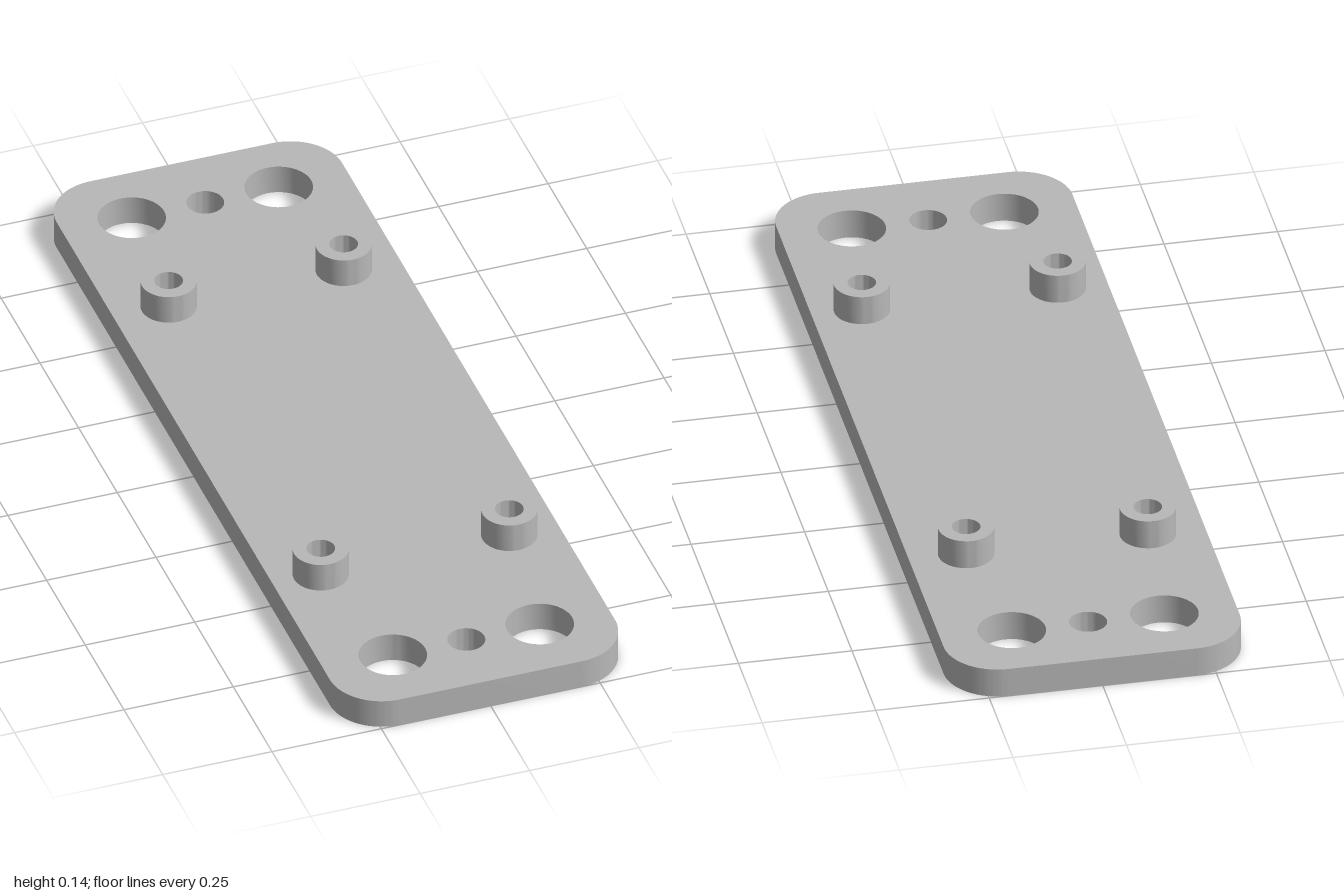
import * as THREE from 'three';
import { toCreasedNormals } from 'three/addons/utils/BufferGeometryUtils.js';

const HALF_W = 0.326, HALF_L = 1, CORNER = 0.118, THICK = 0.068;
const BOSS_R = 0.061, BORE_R = 0.031;

// Shapes are drawn in plan with shape y = -z, then laid flat.
function addHole(shape, x, z, r) {
  shape.holes.push(new THREE.Path().absarc(x, -z, r, 0, Math.PI * 2, true));
}

function extrudeUp(shape, height) {
  const geometry = new THREE.ExtrudeGeometry(shape, { depth: height, bevelEnabled: false, curveSegments: 24 });
  geometry.rotateX(-Math.PI / 2);
  return toCreasedNormals(geometry, 0.6);
}

function roundedRectangle(w, l, r) {
  const s = new THREE.Shape();
  s.absarc(w - r, l - r, r, 0, Math.PI / 2);
  s.absarc(r - w, l - r, r, Math.PI / 2, Math.PI);
  s.absarc(r - w, r - l, r, Math.PI, Math.PI * 1.5);
  s.absarc(w - r, r - l, r, Math.PI * 1.5, Math.PI * 2);
  s.closePath();
  return s;
}

export function createModel() {
  const group = new THREE.Group();
  group.name = 'mountingPlate';
  const grey = new THREE.MeshStandardMaterial({ color: 0xb8b8b8 });
  grey.name = 'grey';

  const bosses = [
    ['frontLeftBoss', 0.215, 0.512], ['frontRightBoss', -0.216, 0.512],
    ['backLeftBoss', 0.2, -0.516], ['backRightBoss', -0.2, -0.516],
  ];

  // Base plate with two large and one small hole at each end
  const plan = roundedRectangle(HALF_W, HALF_L, CORNER);
  for (const z of [-0.845, 0.842]) {
    for (const side of [-1, 1]) addHole(plan, side * 0.168, z, 0.074);
    addHole(plan, 0, z, 0.041);
  }
  for (const [, x, z] of bosses) addHole(plan, x, z, BORE_R);
  const plate = new THREE.Mesh(extrudeUp(plan, THICK), grey);
  plate.name = 'basePlate';
  group.add(plate);

  // Raised bosses, bored right through the plate
  const ring = new THREE.Shape().absarc(0, 0, BOSS_R, 0, Math.PI * 2);
  addHole(ring, 0, 0, BORE_R);
  const bossGeometry = extrudeUp(ring, 0.068);
  for (const [name, x, z] of bosses) {
    const boss = new THREE.Mesh(bossGeometry, grey);
    boss.name = name;
    boss.position.set(x, THICK, z);
    group.add(boss);
  }
  return group;
}
